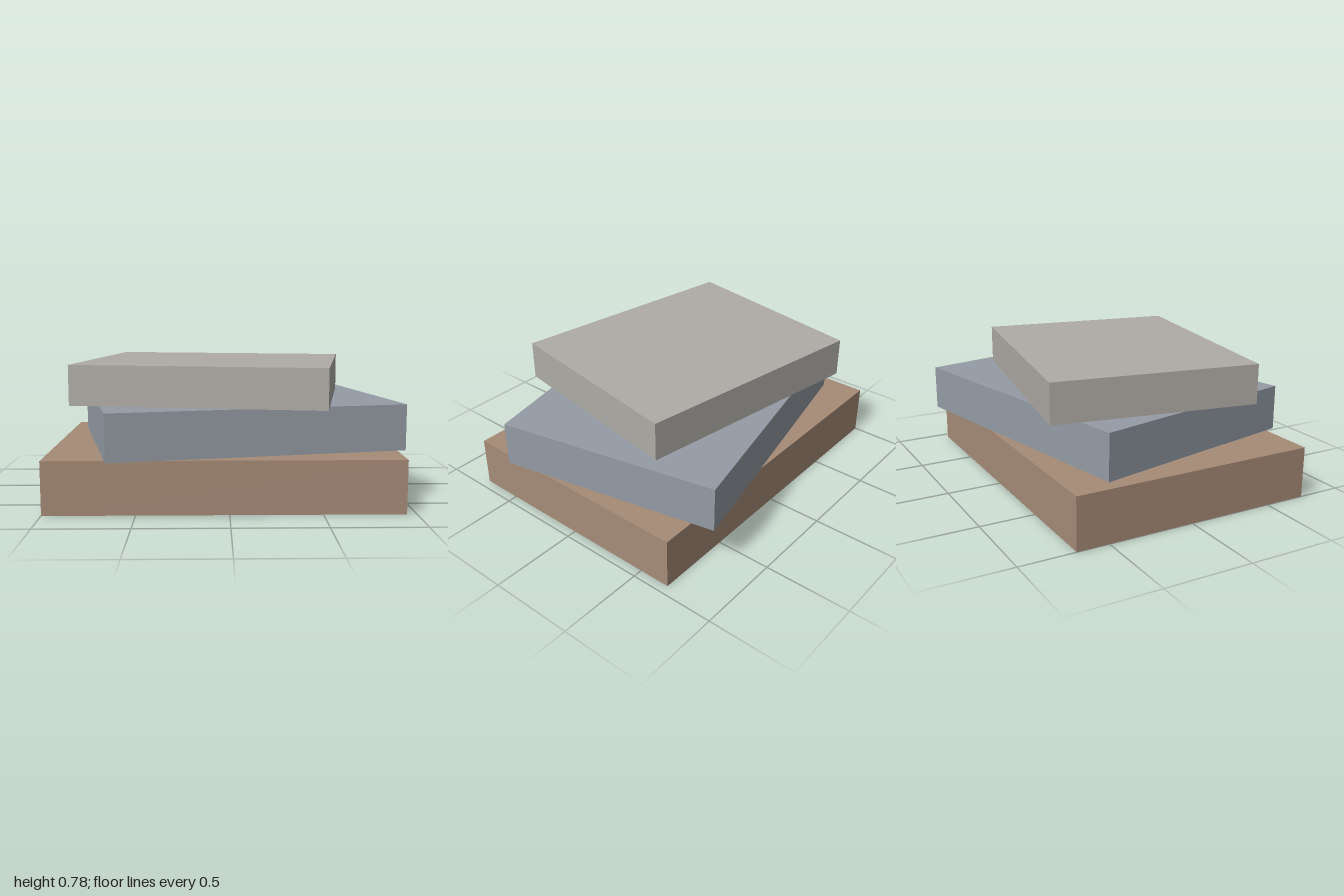
import * as THREE from 'three';

export function createModel() {
  const group = new THREE.Group();

  const material = (name, color) => {
    const m = new THREE.MeshStandardMaterial({ color });
    m.name = name;
    return m;
  };

  // Stacked slabs from bottom to top: size, centre on the plan, turn about y
  const slabs = [
    { name: 'bottomSlab', width: 1.945, height: 0.295, depth: 1.427, x: -0.027, z: 0.03, turn: 0,
      material: material('warm brown', 0xa68b77) },
    { name: 'middleSlab', width: 1.682, height: 0.26, depth: 1.294, x: 0.038, z: -0.002, turn: 0.211,
      material: material('blue grey', 0x949ca5) },
    { name: 'topSlab', width: 1.423, height: 0.225, depth: 1.166, x: -0.08, z: 0.031, turn: -0.174,
      material: material('stone grey', 0xafaca6) },
  ];

  let y = 0;
  for (const s of slabs) {
    const mesh = new THREE.Mesh(new THREE.BoxGeometry(s.width, s.height, s.depth), s.material);
    mesh.name = s.name;
    mesh.position.set(s.x, y + s.height / 2, s.z);
    mesh.rotation.y = s.turn;
    group.add(mesh);
    y += s.height;
  }

  return group;
}
